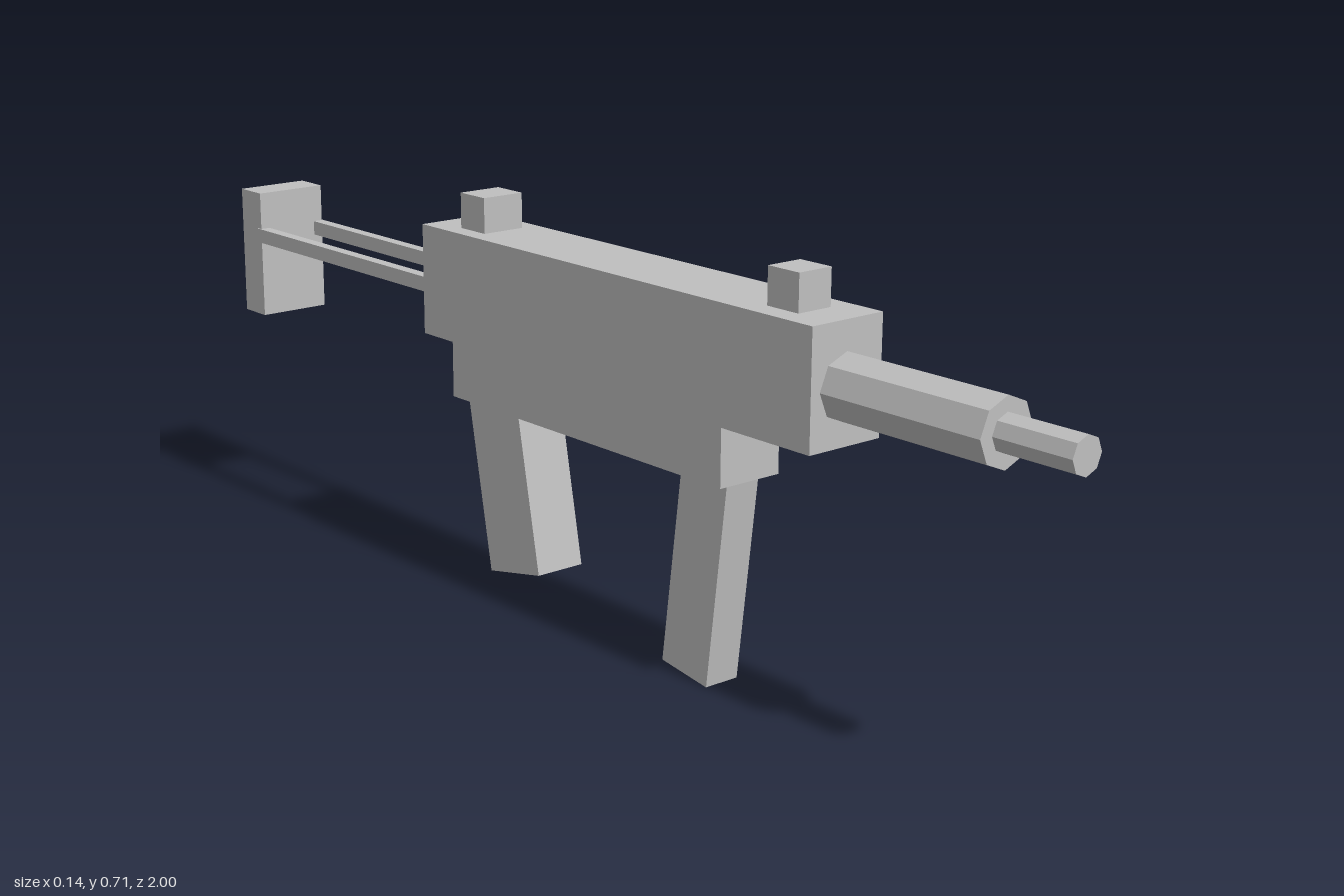
import * as THREE from 'three';

export function createModel() {
  const model = new THREE.Group();
  const grey = new THREE.MeshStandardMaterial({ color: 0xbfbfbf });
  grey.name = 'plain grey';
  grey.flatShading = true;

  const add = (name, geometry) => {
    const mesh = new THREE.Mesh(geometry, grey);
    mesh.name = name;
    model.add(mesh);
    return mesh;
  };

  // Box given by its lower and upper limits on each axis
  const box = (name, [x0, x1], [y0, y1], [z0, z1]) =>
    add(name, new THREE.BoxGeometry(x1 - x0, y1 - y0, z1 - z0))
      .position.set((x0 + x1) / 2, (y0 + y1) / 2, (z0 + z1) / 2);

  // Eight-sided rod along z with corners on the x and y axes
  const octagon = (name, radius, z0, z1) =>
    add(name, new THREE.CylinderGeometry(radius, radius, z1 - z0, 8).rotateX(Math.PI / 2))
      .position.set(0, 0.544, (z0 + z1) / 2);

  // Slanted grip: side profile of [z, y] corners, extruded across x
  const grip = (name, halfWidth, corners) => {
    const shape = new THREE.Shape(corners.map(([z, y]) => new THREE.Vector2(z, y)));
    const geometry = new THREE.ExtrudeGeometry(shape, { depth: halfWidth * 2, bevelEnabled: false });
    add(name, geometry.translate(0, 0, -halfWidth).rotateY(-Math.PI / 2));
  };

  // Main body and lower housing
  box('body', [-0.072, 0.072], [0.453, 0.646], [-0.4, 0.555]);
  box('lowerHousing', [-0.061, 0.061], [0.351, 0.453], [-0.333, 0.354]);

  // Stepped barrel
  octagon('barrelSleeve', 0.054, 0.54, 0.861);
  octagon('barrelTip', 0.03, 0.85, 1);

  // Blocks on top
  box('frontSight', [-0.033, 0.033], [0.646, 0.707], [0.42, 0.486]);
  box('rearSight', [-0.04, 0.04], [0.646, 0.707], [-0.331, -0.265]);

  // Grips
  grip('frontGrip', 0.033, [[0.297, 0], [0.191, 0.015], [0.234, 0.36], [0.34, 0.36]]);
  grip('rearGrip', 0.047, [[-0.115, 0.077], [-0.249, 0.05], [-0.308, 0.36], [-0.17, 0.36]]);

  // Rear frame: two side rods and an end plate
  for (const [name, side] of [['leftStockRod', 1], ['rightStockRod', -1]]) {
    box(name, side > 0 ? [0.05, 0.071] : [-0.071, -0.05], [0.527, 0.553], [-0.945, -0.39]);
  }
  box('stockPlate', [-0.068, 0.068], [0.385, 0.621], [-1, -0.935]);

  return model;
}
